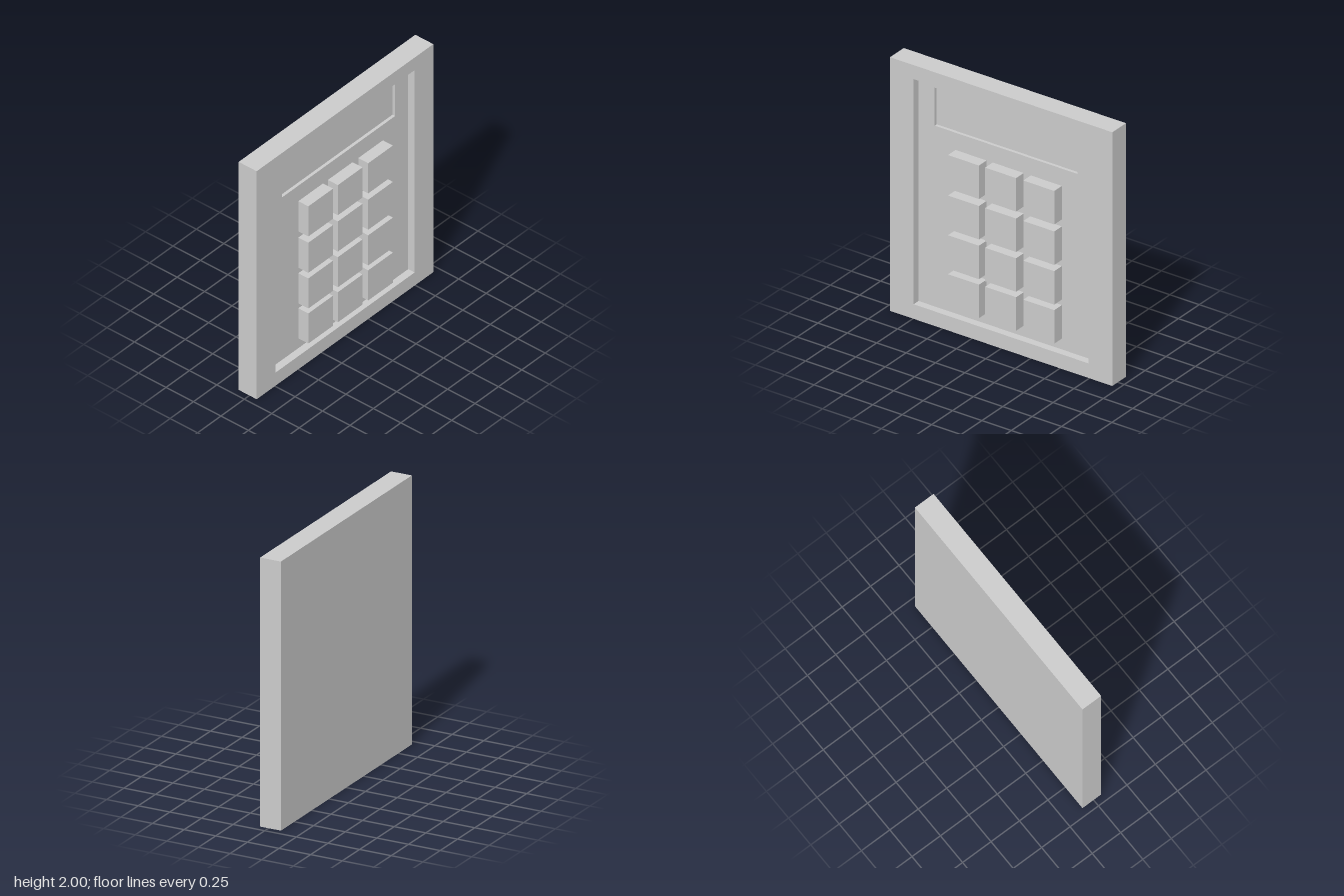
import * as THREE from 'three';
import { mergeGeometries } from 'three/addons/utils/BufferGeometryUtils.js';

// Rectangles are [x0, y0, x1, y1]
const corners = ([x0, y0, x1, y1]) => [[x0, y0], [x1, y0], [x1, y1], [x0, y1]];
const points = (rect) => corners(rect).map(([x, y]) => new THREE.Vector2(x, y));

// Flat face toward +z, with an optional rectangular opening
function face(rect, z, hole) {
  const shape = new THREE.Shape(points(rect));
  if (hole) shape.holes.push(new THREE.Path(points(hole)));
  const g = new THREE.ShapeGeometry(shape).toNonIndexed();
  g.deleteAttribute('uv');
  return g.translate(0, 0, z);
}

// Four walls from z0 to z1; they face outward when z1 > z0, inward otherwise
function walls(rect, z0, z1) {
  const c = corners(rect), p = [];
  c.forEach((a, i) => {
    const b = c[(i + 1) % 4];
    p.push(...a, z0, ...b, z0, ...b, z1, ...a, z0, ...b, z1, ...a, z1);
  });
  const g = new THREE.BufferGeometry();
  g.setAttribute('position', new THREE.Float32BufferAttribute(p, 3));
  g.computeVertexNormals();
  return g;
}

export function createModel() {
  const group = new THREE.Group();
  const material = new THREE.MeshStandardMaterial({ color: 0xcccccc, flatShading: true });
  const add = (geometry, name, parent = group) => {
    const mesh = new THREE.Mesh(geometry, material);
    mesh.name = name;
    parent.add(mesh);
    return mesh;
  };

  const outer = [-0.945, 0, 0.945, 2];
  const panel = [-0.745, 0.115, 0.745, 1.89];
  const display = [-0.607, 1.54, 0.606, 1.84];
  const back = -0.098, front = 0.066, floor = 0.007, displayFloor = -0.017;

  // Slab with its raised rim
  const backFace = face(outer, 0).rotateY(Math.PI).translate(0, 0, back);
  add(mergeGeometries([walls(outer, back, front), face(outer, front, panel), backFace]), 'housing');

  // Sunken key panel, and the display sunk further into it
  add(mergeGeometries([walls(panel, front, floor), face(panel, floor, display)]), 'recessedPanel');
  add(mergeGeometries([walls(display, floor, displayFloor), face(display, displayFloor)]), 'display');

  // Three by four block of keys standing on the panel
  const keys = new THREE.Group();
  keys.name = 'keypad';
  group.add(keys);
  const size = 0.264, top = 0.098;
  const keyGeometry = new THREE.BoxGeometry(size, size, top - floor);
  [1.272, 0.953, 0.64, 0.333].forEach((y, row) => {
    [-0.298, 0.018, 0.343].forEach((x, col) => {
      add(keyGeometry, `key${row * 3 + col + 1}`, keys).position.set(x, y, (top + floor) / 2);
    });
  });
  return group;
}
